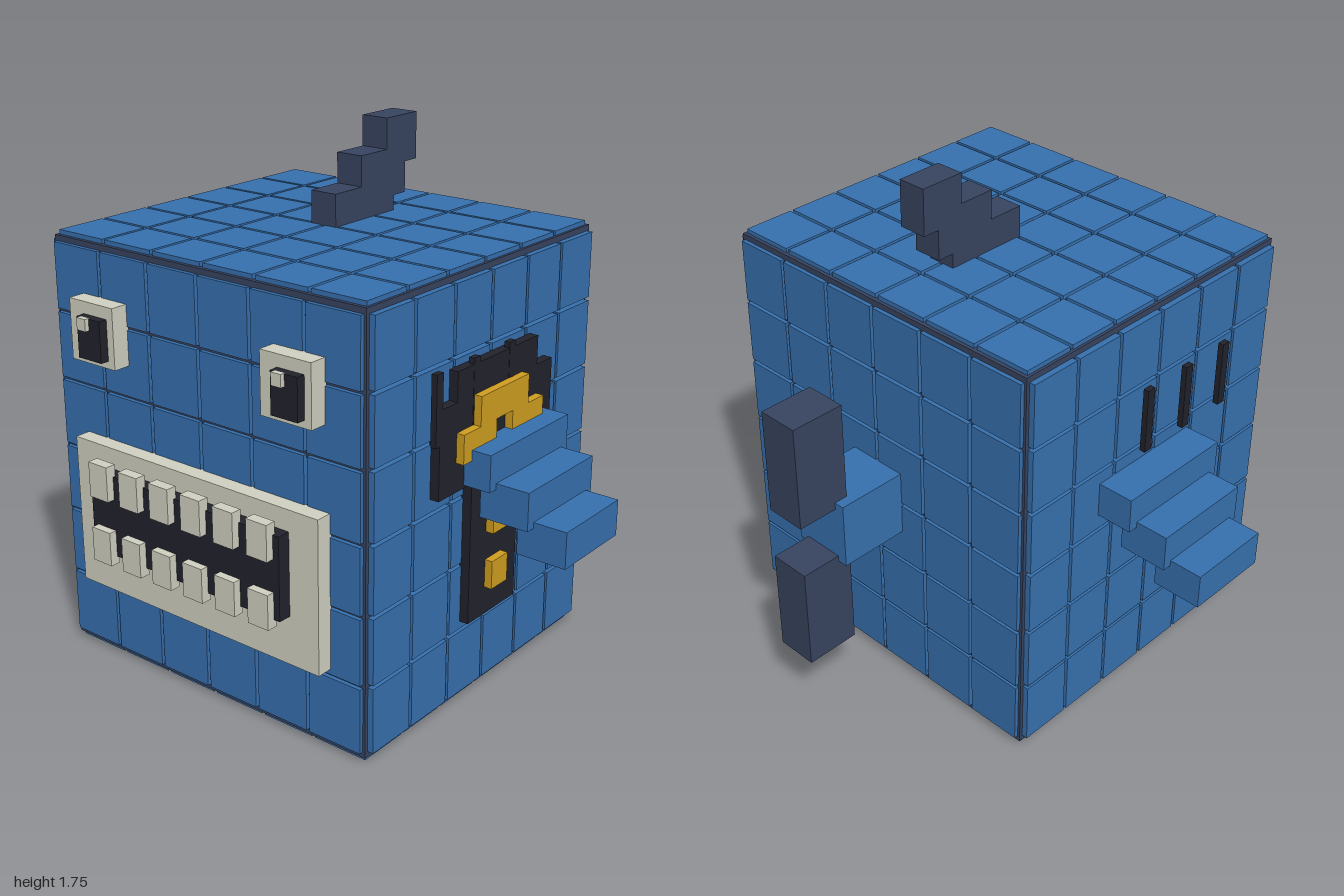
import * as THREE from 'three';

const mat = (name, color) => {
  const m = new THREE.MeshStandardMaterial({ color });
  m.name = name;
  return m;
};

export function createModel() {
  const blue = mat('blue', 0x3771b0);
  const slate = mat('slate', 0x384460);
  const ivory = mat('ivory', 0xd2d2c3);
  const black = mat('black', 0x22222c);
  const gold = mat('gold', 0xd2a021);

  const model = new THREE.Group();
  model.name = 'blockFish';

  const group = (name) => {
    const g = new THREE.Group();
    g.name = name;
    model.add(g);
    return g;
  };

  // Box from its extents on each axis
  const box = (parent, name, material, [x0, x1], [y0, y1], [z0, z1]) => {
    const mesh = new THREE.Mesh(new THREE.BoxGeometry(x1 - x0, y1 - y0, z1 - z0), material);
    mesh.position.set((x0 + x1) / 2, (y0 + y1) / 2, (z0 + z1) / 2);
    mesh.name = name;
    parent.add(mesh);
  };
  const flip = (s, a, b) => (s > 0 ? [a, b] : [-b, -a]);

  // Body core, showing as dark seams between the panels
  const body = group('body');
  const core = [[-0.625, 0.625], [0.015, 1.425], [-0.452, 0.712]];
  box(body, 'core', slate, ...core);

  // Six sides of 6 x 6 panels
  const outer = [[-0.645, 0.645], [0, 1.44], [-0.466, 0.726]];
  const field = [[-0.622, 0.622], [0.028, 1.412], [-0.446, 0.706]];
  const N = 6, gap = 0.012;
  const cell = ([a, b], i) => {
    const step = (b - a) / N;
    return [a + i * step + gap / 2, a + (i + 1) * step - gap / 2];
  };
  for (let axis = 0; axis < 3; axis++) {
    const u = (axis + 1) % 3, v = (axis + 2) % 3;
    for (const end of [0, 1]) {
      for (let i = 0; i < N; i++) for (let j = 0; j < N; j++) {
        const r = [];
        r[axis] = end ? [core[axis][1] - 0.005, outer[axis][1]] : [outer[axis][0], core[axis][0] + 0.005];
        r[u] = cell(field[u], i);
        r[v] = cell(field[v], j);
        box(body, 'panel', blue, ...r);
      }
    }
  }

  // Eyes: both catchlights sit on the same side of the pupil
  for (const s of [-1, 1]) {
    const eye = group(s > 0 ? 'leftEye' : 'rightEye');
    const px = s > 0 ? 0.415 : -0.377;
    box(eye, 'eyeWhite', ivory, flip(s, 0.3, 0.49), [1.06, 1.26], [0.72, 0.785]);
    box(eye, 'pupil', black, [px - 0.05, px + 0.05], [1.085, 1.22], [0.78, 0.815]);
    box(eye, 'catchlight', ivory, [px - 0.035, px + 0.003], [1.182, 1.222], [0.81, 0.83]);
  }

  // Mouth with two rows of teeth
  const mouth = group('mouth');
  box(mouth, 'lips', ivory, [-0.505, 0.505], [0.283, 0.79], [0.72, 0.78]);
  box(mouth, 'mouthOpening', black, [-0.395, 0.395], [0.445, 0.72], [0.77, 0.825]);
  for (let i = 0; i < 6; i++) {
    const x = (i - 2.5) * 0.133;
    box(mouth, 'upperTooth', ivory, [x - 0.04, x + 0.04], [0.642, 0.76], [0.815, 0.852]);
    box(mouth, 'lowerTooth', ivory, [x - 0.04, x + 0.04], [0.42, 0.535], [0.815, 0.852]);
  }

  // Stepped side fins and gill slits
  for (const s of [-1, 1]) {
    const side = s > 0 ? 'left' : 'right';
    const fin = group(side + 'Fin');
    box(fin, 'finRoot', blue, flip(s, 0.6, 0.77), [0.78, 0.9], [-0.13, 0.303]);
    box(fin, 'finMiddle', blue, flip(s, 0.715, 0.885), [0.675, 0.8], [-0.095, 0.27]);
    box(fin, 'finTip', blue, flip(s, 0.83, 1), [0.575, 0.695], [-0.063, 0.238]);
    const gills = group(side + 'Gills');
    for (const z of [0.06, 0.248, 0.436])
      box(gills, 'gillSlit', black, flip(s, 0.657, 0.677), [0.945, 1.172], [z - 0.016, z + 0.016]);
  }

  // Dorsal fin climbing backwards
  const dorsal = group('dorsalFin');
  box(dorsal, 'dorsalBase', slate, [-0.05, 0.05], [1.42, 1.547], [-0.165, 0.138]);
  box(dorsal, 'dorsalMiddle', slate, [-0.05, 0.05], [1.49, 1.648], [-0.225, 0.007]);
  box(dorsal, 'dorsalTip', slate, [-0.05, 0.05], [1.593, 1.75], [-0.285, -0.125]);

  // Tail
  const tail = group('tail');
  box(tail, 'tailStem', blue, [-0.108, 0.108], [0.61, 0.84], [-0.71, -0.44]);
  box(tail, 'upperLobe', slate, [-0.072, 0.072], [0.815, 1.18], [-0.85, -0.662]);
  box(tail, 'lowerLobe', slate, [-0.072, 0.072], [0.268, 0.63], [-0.85, -0.662]);

  // Pixel pattern on the left side: b = black tile, g = raised gold tile
  const rows = [
    '.bbbbb.',
    'bbgggbb',
    'bggbggb',
    'bbbbggb',
    '..bggbb',
    '..bgbb.',
    '..bbb..',
    '..bgb..',
    '..bbb..',
  ];
  const pattern = group('sidePattern');
  const w = 0.0863, h = 0.0958;
  rows.forEach((row, r) => [...row].forEach((c, i) => {
    if (c === '.') return;
    const z = 0.432 - i * w, y = 1.153 - r * h;
    const raised = c === 'g';
    box(pattern, raised ? 'goldTile' : 'blackTile', raised ? gold : black,
      [0.64, raised ? 0.703 : 0.676], [y - h, y], [z - w, z]);
  }));

  return model;
}
